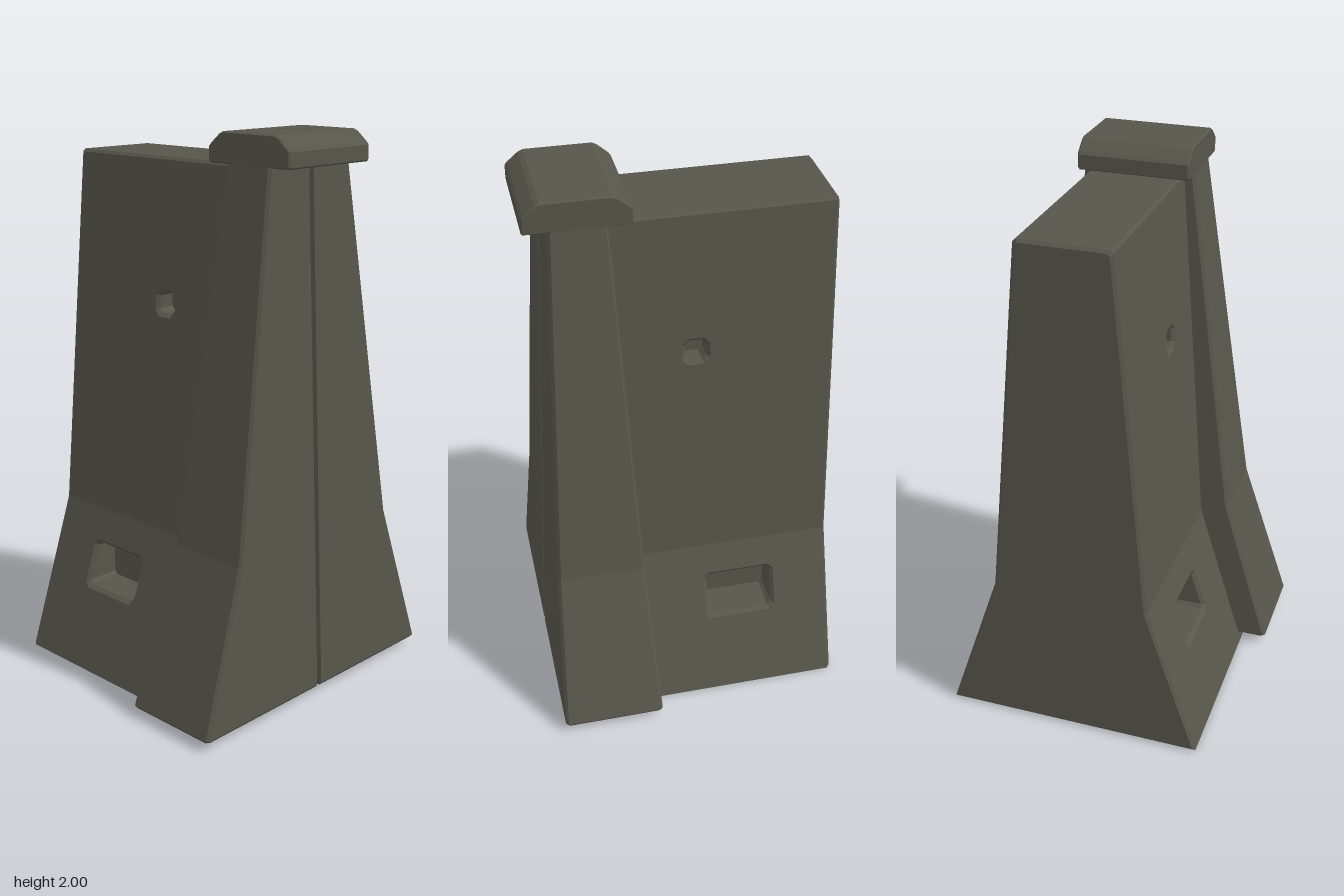
import * as THREE from 'three';

const concrete = new THREE.MeshStandardMaterial({ color: 0x57564b });
concrete.name = 'weathered concrete';

// Faceted mesh from a list of corner points, three per triangle
function facetMesh(name, points) {
  const geometry = new THREE.BufferGeometry().setFromPoints(points);
  geometry.computeVertexNormals();
  const mesh = new THREE.Mesh(geometry, concrete);
  mesh.name = name;
  return mesh;
}

// Band of quads between two closed loops
function band(out, a, b, skip = []) {
  a.forEach((p, i) => {
    if (skip.includes(i)) return;
    const j = (i + 1) % a.length;
    out.push(p, a[j], b[j], p, b[j], b[i]);
  });
}

// Flat cap over a loop, given its outline in 2D
function cap(out, loop, flat, flip) {
  for (const [a, b, c] of THREE.ShapeUtils.triangulateShape(flat, [])) {
    out.push(loop[a], loop[flip ? c : b], loop[flip ? b : c]);
  }
}

// Half width of the body at a height
const BOTTOM = 0.475, KINK = 0.285, TOP = 0.165, KINK_Y = 0.57, TOP_Y = 1.885;
const bodyHalf = (y) => (y < KINK_Y
  ? THREE.MathUtils.lerp(BOTTOM, KINK, y / KINK_Y)
  : THREE.MathUtils.lerp(KINK, TOP, (y - KINK_Y) / (TOP_Y - KINK_Y)));

// Clipped rectangle in side view, u = -z
function clippedRect(u0, u1, y0, y1, c) {
  return [[u0 + c, y0], [u1 - c, y0], [u1, y0 + c], [u1, y1 - c],
    [u1 - c, y1], [u0 + c, y1], [u0, y1 - c], [u0, y0 + c]]
    .map(([u, y]) => new THREE.Vector2(u, y));
}

// One sloping side panel with a recessed pocket
function sidePanel(out, sign, y0, y1, pocket) {
  const tris = [];
  const { u0, u1, v0, v1, clip, lip, floorX } = pocket;
  const onSide = (p, sink = 0) => new THREE.Vector3(bodyHalf(p.y) - sink, p.y, -p.x);
  const rim = clippedRect(u0, u1, v0, v1, clip);
  const inner = clippedRect(u0 + lip, u1 - lip, v0 + lip, v1 - lip, clip * 0.7);
  const outline = [[-0.34, y0], [0.52, y0], [0.52, y1], [-0.34, y1]]
    .map(([u, y]) => new THREE.Vector2(u, y));
  const hole = rim.slice().reverse();
  const all = [...outline, ...hole];
  for (const face of THREE.ShapeUtils.triangulateShape(outline, [hole])) {
    tris.push(...face.map((i) => onSide(all[i])));
  }
  const mouth = inner.map((p) => onSide(p, lip));
  const floor = inner.map((p) => new THREE.Vector3(floorX, p.y, -p.x));
  band(tris, rim.map((p) => onSide(p)), mouth);
  band(tris, mouth, floor);
  cap(tris, floor, inner, false);
  // Mirroring also reverses the corner order
  for (let i = 0; i < tris.length; i += 3) {
    const t = tris.slice(i, i + 3).map((p) => new THREE.Vector3(p.x * sign, p.y, p.z));
    out.push(...(sign > 0 ? t : t.reverse()));
  }
}

// Long body with bevelled back edges and a pocket pair on each side
function makeBody() {
  const out = [];
  const section = (d) => {
    const half = [[BOTTOM - d, d], [KINK - d, KINK_Y], [TOP - d, TOP_Y - d], [TOP - 0.01 - d, TOP_Y + 0.01 - d]];
    return [...half, ...half.slice().reverse().map(([x, y]) => [-x, y])]
      .map(([x, y]) => new THREE.Vector2(x, y));
  };
  const ring = (d, z) => section(d).map((p) => new THREE.Vector3(p.x, p.y, z));
  const back = ring(0.01, -0.53), edge = ring(0, -0.52), front = ring(0, 0.34);
  cap(out, back, section(0.01), true);
  band(out, back, edge);
  band(out, edge, front, [0, 1, 5, 6]);
  cap(out, front, section(0), false);
  for (const sign of [1, -1]) {
    sidePanel(out, sign, 0, KINK_Y,
      { u0: 0.05, u1: 0.32, v0: 0.28, v1: 0.46, clip: 0.018, lip: 0.013, floorX: 0.24 });
    sidePanel(out, sign, KINK_Y, TOP_Y,
      { u0: -0.01, u1: 0.09, v0: 1.34, v1: 1.44, clip: 0.022, lip: 0.012, floorX: 0.14 });
  }
  return facetMesh('body', out);
}

// Flared end buttress, bevelled all round with a groove down its front
function makeButtress() {
  const out = [];
  const c = 0.01, g = 0.011;
  const section = (half, zBack, zFront) => [
    [zFront, g], [zFront, half - c], [zFront - c, half], [zBack + c, half], [zBack, half - c],
    [zBack, -half + c], [zBack + c, -half], [zFront - c, -half], [zFront, -half + c], [zFront, -g],
    [zFront - 0.016, -g * 0.5], [zFront - 0.016, g * 0.5],
  ].map(([z, x]) => new THREE.Vector2(z, x));
  const levels = [[0.03, 0.567], [0.04, 0.573], [0.6, 0.39], [1.9, 0.2]];
  const flats = levels.map(([y, half], i) => {
    const t = (y - 0.03) / 1.87, inset = i === 0 ? 0.008 : 0;
    return section(half, 0.158 + 0.087 * t + inset, 0.527 - 0.087 * t - inset);
  });
  const rings = flats.map((flat, i) => flat.map((p) => new THREE.Vector3(p.y, levels[i][0], p.x)));
  for (let i = 0; i < rings.length - 1; i++) band(out, rings[i], rings[i + 1]);
  cap(out, rings[0], flats[0], true);
  cap(out, rings[3], flats[3], false);
  return facetMesh('endButtress', out);
}

// Coping block with sloped front and back shoulders
function makeCoping() {
  const out = [];
  const half = [[0.172, 1.895], [0.178, 1.9], [0.178, 1.95], [0.17, 1.96], [0.132, 1.992], [0.115, 2]];
  const profile = [...half, ...half.slice().reverse().map(([z, y]) => [-z, y])]
    .map(([z, y]) => new THREE.Vector2(z, y));
  const slices = [[-0.202, 0.975], [-0.196, 1], [0.196, 1], [0.202, 0.975]];
  // Profile runs clockwise about +x, so the slices go from +x to -x
  const rings = slices.reverse().map(([x, s]) => profile.map((p) => new THREE.Vector3(
    x, 1.9475 + (p.y - 1.9475) * (s < 1 ? 0.92 : 1), 0.343 + p.x * s)));
  for (let i = 0; i < 3; i++) band(out, rings[i], rings[i + 1]);
  cap(out, rings[0], profile, true);
  cap(out, rings[3], profile, false);
  return facetMesh('coping', out);
}

export function createModel() {
  const group = new THREE.Group();
  group.name = 'concreteBarrier';
  group.add(makeBody(), makeButtress(), makeCoping());
  return group;
}
